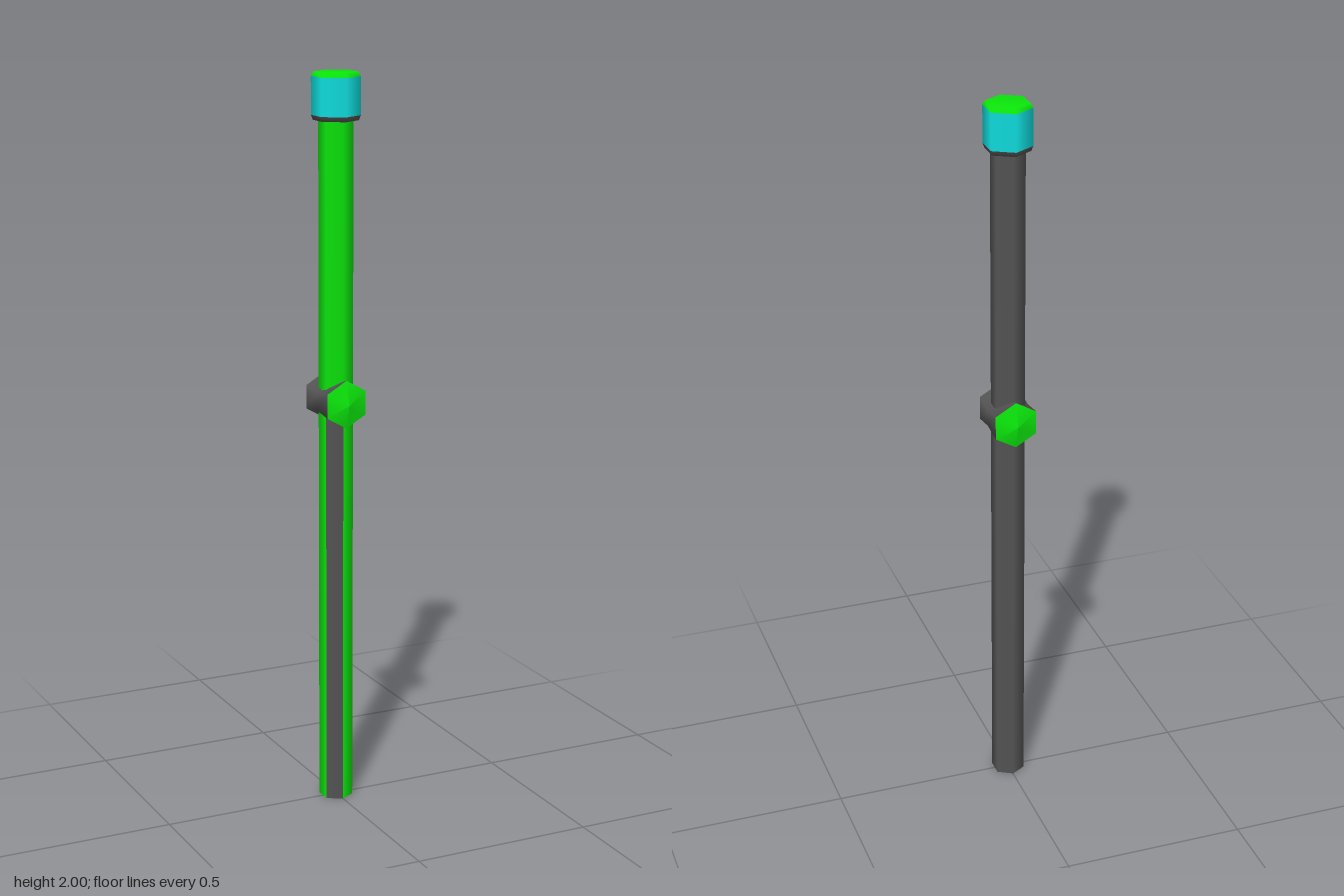
import * as THREE from 'three';

const mat = (color) => new THREE.MeshStandardMaterial({ color });
const green = mat(0x0be60b), cyan = mat(0x10e0e0), grey = mat(0x555555);
const STEP = Math.PI / 3;

// Six-sided turned part; corners of the hexagon lie on +z and -z
function hexLathe(profile) {
  return new THREE.LatheGeometry(profile.map(([r, y]) => new THREE.Vector2(r, y)), 6);
}

export function createModel() {
  const model = new THREE.Group();
  model.name = 'staff';
  const add = (name, geometry, material, parent = model) => {
    const mesh = new THREE.Mesh(geometry, material);
    mesh.name = name;
    parent.add(mesh);
    return mesh;
  };

  // Shaft: hexagonal side strips, given as [name, material, bottom, top, first side, number of sides]
  const R = 0.046, TOP = 1.9, MID = 1.13;
  const strips = [
    ['upperGreenStrip', green, MID, TOP, 4, 3],
    ['upperGreyStrip', grey, MID, TOP, 1, 3],
    ['lowerGreenStrip', green, 0, MID, 0, 1],
    ['lowerGreyStrip', grey, 0, MID, 1, 3],
    ['lowerSideStrip', green, 0, MID, 4, 1],
    ['lowerFrontStrip', grey, 0, MID, 5, 1],
  ];
  for (const [name, material, y0, y1, start, sides] of strips) {
    const g = new THREE.CylinderGeometry(R, R, y1 - y0, sides, 1, true, start * STEP, sides * STEP);
    add(name, g.translate(0, (y0 + y1) / 2, 0), material);
  }
  add('shaftFoot', hexLathe([[0, 0], [R, 0]]), grey);

  // Head: band with a chamfered lid and a sloping underside
  add('headUnderside', hexLathe([[R, 1.875], [0.06, 1.875], [0.065, 1.888]]), grey);
  add('headBand', hexLathe([[0.065, 1.888], [0.065, 1.988]]), cyan);
  add('headLid', hexLathe([[0.065, 1.988], [0.058, 2], [0, 2]]), green);

  // Cross knob: waisted hexagonal barrel along z with a low pyramid on each end
  const knob = new THREE.Group();
  knob.name = 'crossKnob';
  knob.position.y = MID;
  model.add(knob);
  const barrel = hexLathe([[0.065, -0.065], [0.065, 0], [0.065, 0.065]]).rotateX(Math.PI / 2);
  const p = barrel.attributes.position;
  for (let i = 0; i < p.count; i++) {
    if (Math.abs(p.getZ(i)) < 0.01) p.setY(i, p.getY(i) * 0.7);
  }
  barrel.computeVertexNormals();
  add('knobBarrel', barrel, grey, knob);
  for (const s of [1, -1]) {
    const tip = hexLathe([[0.065, 0.065], [0, 0.083]]).rotateX(s * Math.PI / 2);
    add(s > 0 ? 'knobFrontTip' : 'knobBackTip', tip, green, knob);
  }
  return model;
}
